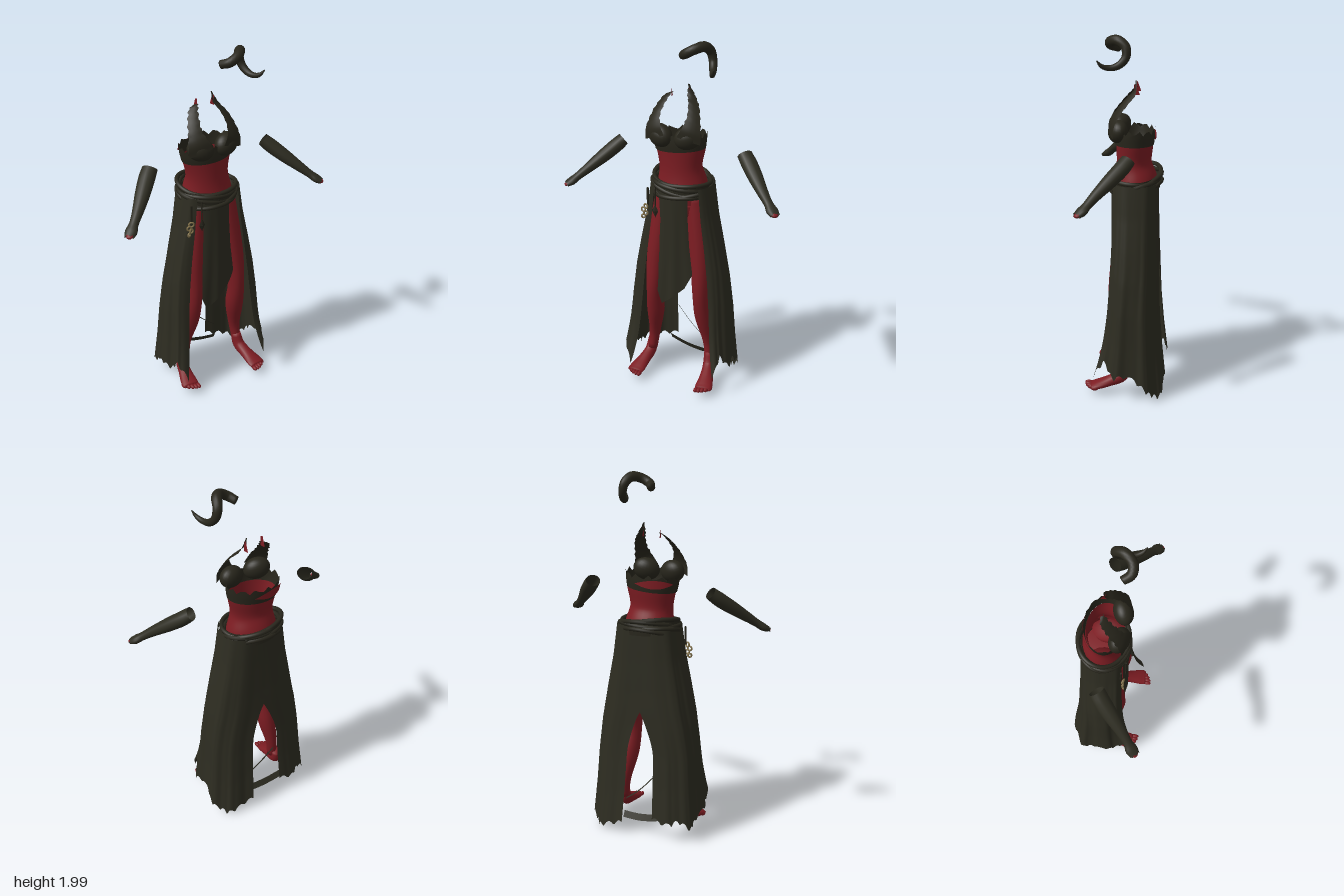
import * as THREE from 'three';

const mat = (name, color) => {
  const m = new THREE.MeshStandardMaterial({ color, side: THREE.DoubleSide });
  m.name = name;
  return m;
};

// Grid surface from a rule f(u, v) -> [x, y, z]
function surface(nu, nv, f) {
  const pos = [], idx = [];
  for (let j = 0; j <= nv; j++) for (let i = 0; i <= nu; i++) pos.push(...f(i / nu, j / nv));
  for (let j = 0; j < nv; j++) for (let i = 0; i < nu; i++) {
    const a = j * (nu + 1) + i, b = a + 1, c = a + nu + 1, d = c + 1;
    idx.push(a, c, b, b, c, d);
  }
  return build(pos, idx);
}

function build(pos, idx) {
  const g = new THREE.BufferGeometry();
  g.setAttribute('position', new THREE.Float32BufferAttribute(pos, 3));
  g.setIndex(idx);
  g.computeVertexNormals();
  return g;
}

// Smooth limb through rows of [x, y, z, radiusA, radiusB]; ref fixes the ring direction
function limb(rows, ref, { sides = 16, steps = 24, caps = true, jag = 0 } = {}) {
  const path = new THREE.CatmullRomCurve3(rows.map(r => new THREE.Vector3(r[0], r[1], r[2])));
  const radii = new THREE.CatmullRomCurve3(rows.map(r => new THREE.Vector3(r[3], r[4] ?? r[3], 0)), false, 'catmullrom', 0.5);
  const pos = [], idx = [], up = new THREE.Vector3(...ref);
  for (let i = 0; i <= steps; i++) {
    const p = path.getPoint(i / steps), r = radii.getPoint(i / steps), T = path.getTangent(i / steps);
    const N = up.clone().cross(T).normalize(), B = T.clone().cross(N);
    for (let j = 0; j < sides; j++) {
      const a = j / sides * Math.PI * 2;
      const v = p.clone().addScaledVector(N, Math.cos(a) * r.x).addScaledVector(B, Math.sin(a) * r.y);
      if (i === steps) v.addScaledVector(T, Math.sin(j * 2.3) * jag);
      pos.push(v.x, v.y, v.z);
    }
  }
  for (let i = 0; i < steps; i++) for (let j = 0; j < sides; j++) {
    const a = i * sides + j, b = i * sides + (j + 1) % sides;
    idx.push(a, b, b + sides, a, b + sides, a + sides);
  }
  if (caps) {
    const s = rows[0], e = rows[rows.length - 1], n = pos.length / 3, last = steps * sides;
    pos.push(s[0], s[1], s[2], e[0], e[1], e[2]);
    for (let j = 0; j < sides; j++) {
      const k = (j + 1) % sides;
      idx.push(n, k, j, n + 1, last + j, last + k);
    }
  }
  return build(pos, idx);
}

const along = (list, u) => {
  const k = Math.min(list.length - 2, Math.floor(u * (list.length - 1)));
  return THREE.MathUtils.lerp(list[k], list[k + 1], u * (list.length - 1) - k);
};
// Squared-off circle, for boxier cross-sections
const soft = x => Math.sign(x) * Math.abs(x) ** 0.72;

export function createModel() {
  const cloth = mat('dark cloth', 0x2d2c21), leather = mat('dark leather', 0x28261c);
  const skin = mat('red skin', 0x7c1c22), brass = mat('brass', 0x85744c);
  const model = new THREE.Group();
  const add = (name, geo, material, parent = model) => {
    const m = new THREE.Mesh(geo, material);
    m.name = name;
    parent.add(m);
    return m;
  };
  const Z = [0, 0, 1], Y = [0, 1, 0];

  // Bare waist, closed pelvis and bodice
  add('waist', limb([[0, 1.1, -.035, .145, .112], [-.005, 1.2, -.035, .14, .118], [-.01, 1.3, -.025, .12, .095],
    [-.012, 1.41, -.028, .14, .1]], Z, { sides: 32, caps: false }), skin);
  add('pelvis', limb([[0, 1.0, -.03, .09, .075], [0, 1.04, -.032, .13, .1], [0, 1.1, -.035, .145, .112]], Z,
    { sides: 32, steps: 8 }), skin);
  add('bodice', limb([[-.012, 1.4, -.027, .141, .104], [-.015, 1.44, -.027, .148, .108], [-.017, 1.48, -.028, .152, .108]],
    Z, { sides: 36, steps: 6, caps: false, jag: .014 }), leather);
  add('bareBack', surface(16, 4, (u, v) => {
    const a = (u - .5) * 1.5 - .4;
    return [-.016 + Math.sin(a) * .157, 1.442 + (v - .5) * .046 * Math.sin(u * Math.PI), -.028 - Math.cos(a) * .114];
  }), skin);

  for (const s of [-1, 1]) {
    const side = s < 0 ? 'right' : 'left';

    // Bust cup
    const cup = add(side + 'Cup', new THREE.SphereGeometry(.072, 24, 16), leather);
    cup.scale.set(1.02, .85, .72);
    cup.position.set(-.017 + s * .078, 1.483, .056);
    cup.rotation.set(-.2, s * .3, s * .35);

    // Torn halter strap, rising from the cup to the nape
    const strap = new THREE.CatmullRomCurve3([[.095, 1.48, .1], [.108, 1.53, .092], [.108, 1.59, .058], [.09, 1.65, .01],
      [.065, 1.69, -.025], [.045, s > 0 ? 1.75 : 1.7, -.035]].map(p => new THREE.Vector3(-.017 + s * p[0], p[1], p[2])));
    add(side + 'Strap', surface(4, 30, (u, v) => {
      const p = strap.getPoint(v), w = along([.12, .095, .065, .055, .045, .004], v);
      const tear = v > .25 ? Math.sin(v * 57 + s) * .008 + Math.sin(v * 131) * .006 : 0;
      const k = (u - .5) * (w + tear);
      return [p.x + k, p.y - s * k * .35, p.z - s * k * .3 - (2 * u - 1) ** 2 * .006];
    }), leather);
    add(side + 'NapeScrap', surface(2, 4, (u, v) => [-.017 + s * .05 + (u - .5) * .006, 1.675 + v * .055,
      -.042 + (u - .5) * .03 * (1 - v * .7) + v * .01]), skin);

    // Leg, foot and toes
    add(side + 'Leg', limb([[s * .085, 1.16, -.03, .066, .085], [s * .11, .95, 0, .066, .075], [s * .132, .75, .03, .058, .063],
      [s * .14, .57, .05, .046, .052], [s * .148, .42, .02, .05, .055], [s * .168, .25, -.01, .032, .037],
      [s * .178, .14, 0, .026, .03]], Z), skin);
    const foot = new THREE.Group();
    foot.name = side + 'Foot';
    foot.position.set(s < 0 ? -.015 : 0, 0, s < 0 ? -.035 : 0);
    model.add(foot);
    add('sole', limb([[s * .175, .18, 0, .027, .03], [s * .182, .11, .025, .032, .037], [s * .195, .08, .09, .037, .03],
      [s * .207, .06, .16, .048, .021], [s * .21, .054, .195, .046, .014]], Y, { steps: 16 }), skin, foot);
    for (let i = 0; i < 5; i++) {
      const toe = add('toe', new THREE.SphereGeometry(.012, 10, 8), skin, foot);
      toe.scale.z = 1.9;
      toe.position.set(s * (.175 + i * .018), .053, .213 - i * i * .0025);
    }

    // Forearm glove, open at the elbow, with a sliver of fingertip
    add(side + 'Glove', limb([[s * .35, 1.405, -.025, .042, .034], [s * .385, 1.37, .005, .044, .038], [s * .44, 1.318, .06, .04, .035],
      [s * .505, 1.258, .125, .029, .026], [s * .545, 1.222, .16, .025, .021], [s * .57, 1.2, .182, .033, .021],
      [s * .592, 1.186, .203, .026, .014]], Y, { caps: false, jag: .006 }), cloth);
    add(side + 'Fingertips', limb([[s * .578, 1.196, .19, .02, .011], [s * .592, 1.186, .203, .018, .01],
      [s * .599, 1.181, .21, .01, .006]], Y, { sides: 10, steps: 6 }), skin);

    // Long side skirt panel, from the front slit round to the back slit
    const hem = s < 0 ? [.1, .2, .13, .15, .09, .07, .12, .1, .12] : [.12, .22, .14, .15, .09, .03, .0, .03, .06];
    add(side + 'SkirtPanel', surface(72, 36, (u, v) => {
      const end = along(hem, u) + Math.abs(Math.sin(u * 34)) * .03;
      const y = 1.21 - v * (1.21 - end);
      const slit = THREE.MathUtils.smoothstep(.82 - y, 0, .34);
      const back = -1.6 + slit * (s < 0 ? .24 : .12 + .08 * v);
      const t = THREE.MathUtils.lerp(.86 + .1 * v, back, u);
      const fold = 1 + (.008 + .022 * v) * Math.sin(u * 24 + s) + .018 * v * Math.sin(u * 11);
      const rx = along([.172, .198, .235, .268, .29, .303, .32], v) * fold;
      const rz = along([.128, .13, .134, .142, .152, .168, .19], v) * fold;
      const flare = v ** 6 * (1 - u) ** 8;
      return [s * (rx * soft(Math.cos(t)) + flare * .04), y, -.03 + rz * soft(Math.sin(t)) + flare * .04];
    }), cloth);
  }

  // Front apron with a ragged slanted hem
  add('apron', surface(25, 20, (u, v) => {
    const end = along([.62, .495, .53, .57, .61, .7], u), y = 1.2 - v * (1.2 - end);
    const l = along([-.1, -.09, -.1, -.125], v), r = along([.07, .07, .08, .1], v);
    return [l + (r - l) * u, y, .098 - .02 * (2 * u - 1) ** 2 + .004 * v * Math.sin(u * 15)];
  }), cloth);

  // Twisted sash, higher at the back: a flat band wrapped by wandering cords
  add('sashBand', surface(48, 3, (u, v) => {
    const a = u * Math.PI * 2;
    return [-.005 + Math.sin(a) * .166, 1.235 - v * .08 - Math.sin(a) * .008 - Math.cos(a) * .012, -.034 + Math.cos(a) * .132];
  }), leather);
  for (let k = 0; k < 5; k++) {
    const pts = [];
    for (let i = 0; i < 24; i++) {
      const a = i / 24 * Math.PI * 2, w = Math.sin(a * 2 + k * 1.9);
      pts.push(new THREE.Vector3(-.005 + Math.sin(a) * (.162 + .007 * w),
        1.232 - k * .016 - Math.sin(a + k * .5) * .014 - Math.cos(a) * .014 + .01 * w, -.036 + Math.cos(a) * (.132 + .007 * w)));
    }
    add('sashCord', new THREE.TubeGeometry(new THREE.CatmullRomCurve3(pts, true), 72, .012, 8, true), leather);
  }

  // Hanging charm and tag at the hip
  for (let i = 0; i < 4; i++) {
    const ring = add('charm', new THREE.TorusGeometry(.013 - i * .001, .005, 6, 14), brass);
    ring.position.set(-.172 - (i % 2) * .014, 1.075 - i * .02, .088);
    ring.rotation.y = -.4 + i * .3;
  }
  add('charmCord', new THREE.CylinderGeometry(.006, .006, .1, 6), leather).position.set(-.165, 1.13, .075);
  const tag = add('tag', new THREE.OctahedronGeometry(.02), leather);
  tag.scale.set(.9, 1.9, .4);
  tag.position.set(-.112, 1.06, .098);
  add('tagCord', new THREE.CylinderGeometry(.004, .004, .12, 6), leather).position.set(-.112, 1.14, .095);

  // Loose shreds trailing between the panels
  const shred = (a, b, w) => add('shred', surface(2, 8, (u, v) => [a[0] + (b[0] - a[0]) * v,
    a[1] + (b[1] - a[1]) * v - .012 * Math.sin(v * Math.PI) + (u - .5) * w, a[2] + (b[2] - a[2]) * v + (u - .5) * w * .5]), cloth);
  shred([-.13, .135, -.17], [.11, .095, -.14], .035);
  shred([-.08, .36, -.16], [.1, .19, -.13], .008);

  // Curled horn, thick at the root and tapering outward
  add('horn', limb([[.03, 1.92, .05, .022], [.06, 1.938, .09, .025], [.105, 1.962, .088, .026], [.145, 1.972, .045, .027],
    [.165, 1.94, .004, .025], [.177, 1.89, .004, .022], [.19, 1.852, .04, .019], [.203, 1.842, .085, .015],
    [.217, 1.854, .122, .011], [.232, 1.882, .143, .003]], [1, 0, 0], { sides: 14, steps: 54 }), leather);

  return model;
}
